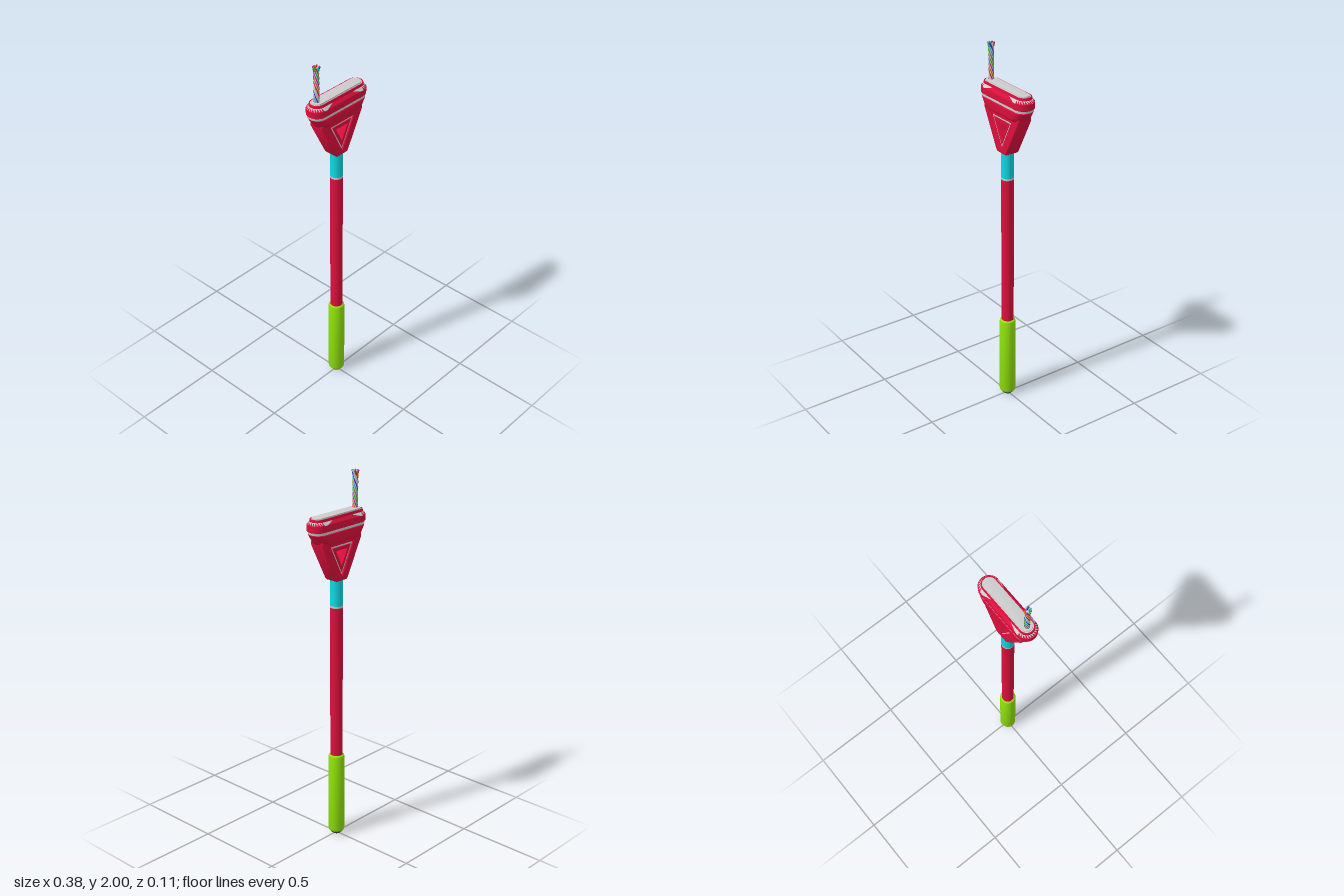
import * as THREE from 'three';
import { toCreasedNormals } from 'three/addons/utils/BufferGeometryUtils.js';

const RED = 0xdc0f3c, GREY = 0xcccccc, GREEN = 0x8ee00c, CYAN = 0x0cd8e4, NAVY = 0x2b3f66;
const ARC = 12;

function add(parent, name, geometry, color, side = THREE.FrontSide) {
  const mesh = new THREE.Mesh(geometry, new THREE.MeshStandardMaterial({ color, side }));
  mesh.name = name;
  parent.add(mesh);
  return mesh;
}

// Turned part from [radius, height] pairs
function turned(profile) {
  const points = profile.map(([r, y]) => new THREE.Vector2(r, y));
  return toCreasedNormals(new THREE.LatheGeometry(points, 32), 0.6);
}

// Horizontal stadium outline: half length, end radius, break point on the straights
function stadium(y, half, r, a = 0.1) {
  const pts = [];
  for (const s of [1, -1]) {
    for (let i = 0; i <= ARC; i++) {
      const t = -Math.PI / 2 + (Math.PI * i) / ARC;
      pts.push([s * (half - r + r * Math.cos(t)), y, s * r * Math.sin(t)]);
    }
    pts.push([s * a, y, s * r], [-s * a, y, s * r]);
  }
  return pts;
}

// Skin over stadium rings; keep(i, k) picks triangle k of side i
function loft(rings, { capTop = false, capBottom = false, keep = () => true } = {}) {
  const pos = [], n = rings[0].length;
  for (let j = 0; j < rings.length - 1; j++) {
    const lo = rings[j], hi = rings[j + 1];
    for (let i = 0; i < n; i++) {
      const k = (i + 1) % n;
      if (keep(i, 0)) pos.push(...lo[i], ...hi[k], ...lo[k]);
      if (keep(i, 1)) pos.push(...lo[i], ...hi[i], ...hi[k]);
    }
  }
  const cap = (ring, up) => {
    for (let i = 0; i < n; i++) {
      const p = ring[i], q = ring[(i + 1) % n];
      pos.push(0, ring[0][1], 0, ...(up ? q : p), ...(up ? p : q));
    }
  };
  if (capTop) cap(rings.at(-1), true);
  if (capBottom) cap(rings[0], false);
  const g = new THREE.BufferGeometry();
  g.setAttribute('position', new THREE.Float32BufferAttribute(pos, 3));
  g.computeVertexNormals();
  return toCreasedNormals(g, 0.5);
}

// Triangle around the fork window; scale 1 is the opening itself
function triangle(s, Type = THREE.Shape) {
  const cy = 1.593;
  return new Type([[-0.041, 0.029], [0, -0.053], [0.041, 0.029]]
    .map(([x, y]) => new THREE.Vector2(x * s, cy + y * s)));
}

function slab(shape, halfDepth, bevel) {
  const g = new THREE.ExtrudeGeometry(shape, {
    depth: 2 * (halfDepth - bevel), bevelEnabled: bevel > 0,
    bevelSize: bevel, bevelThickness: bevel, bevelOffset: -bevel, bevelSegments: 3,
  });
  g.translate(0, 0, bevel - halfDepth);
  return toCreasedNormals(g, 0.6);
}

function buildHandle() {
  const handle = new THREE.Group();
  handle.name = 'handle';
  add(handle, 'endCap', turned([[0, 0], [0.022, 0], [0.031, 0.009], [0.031, 0.03]]), NAVY);
  add(handle, 'grip', turned([[0, 0.015], [0.034, 0.015], [0.041, 0.021], [0.044, 0.032],
    [0.044, 0.458], [0.041, 0.471], [0.034, 0.477], [0, 0.477]]), GREEN);
  add(handle, 'shaft', turned([[0.033, 0.47], [0.033, 1.31]]), RED);
  add(handle, 'collarRing', turned([[0.033, 1.31], [0.0335, 1.312], [0.0335, 1.319], [0.033, 1.321]]), GREY);
  add(handle, 'sleeve', turned([[0.033, 1.32], [0.033, 1.47]]), CYAN);
  return handle;
}

function buildFork() {
  const fork = new THREE.Group();
  fork.name = 'fork';
  const outline = new THREE.Shape([[-0.036, 1.46], [0.036, 1.46], [0.045, 1.47], [0.146, 1.665],
    [0.146, 1.685], [-0.146, 1.685], [-0.146, 1.665], [-0.045, 1.47]]
    .map(([x, y]) => new THREE.Vector2(x, y)));
  outline.holes.push(triangle(1.95, THREE.Path));
  add(fork, 'forkFrame', slab(outline, 0.041, 0.008), RED);
  // Stepped window surround
  const ring = (outer, inner) => {
    const shape = triangle(outer);
    shape.holes.push(triangle(inner, THREE.Path));
    return shape;
  };
  add(fork, 'windowInlay', slab(ring(2.05, 1.55), 0.034, 0), GREY);
  add(fork, 'windowSurround', slab(ring(1.66, 1), 0.037, 0.002), RED);
  return fork;
}

function buildHead() {
  const head = new THREE.Group();
  head.name = 'head';
  add(head, 'lowerShell', loft([stadium(1.668, 0.143, 0.044), stadium(1.676, 0.152, 0.051),
    stadium(1.69, 0.162, 0.054), stadium(1.722, 0.182, 0.054), stadium(1.728, 0.181, 0.05)],
  { capBottom: true }), RED);
  add(head, 'grooveBand', loft([stadium(1.726, 0.183, 0.051), stadium(1.742, 0.187, 0.051)]), GREY);
  add(head, 'upperShell', loft([stadium(1.738, 0.185, 0.05), stadium(1.743, 0.191, 0.054),
    stadium(1.775, 0.192, 0.054)]), RED);
  // Two-tone bevel: serrated ends, long red facets on the straights
  const bevel = [stadium(1.775, 0.192, 0.054, 0.12), stadium(1.79, 0.178, 0.041, 0.07)];
  const isRed = (i, k) => {
    const m = i % (ARC + 3);
    return m < ARC ? k === 0 : m === ARC + 1;
  };
  add(head, 'bevelRed', loft(bevel, { keep: isRed }), RED);
  add(head, 'bevelGrey', loft(bevel, { keep: (i, k) => !isRed(i, k) }), GREY);
  add(head, 'topLip', loft([stadium(1.79, 0.178, 0.041), stadium(1.803, 0.176, 0.039),
    stadium(1.803, 0.171, 0.035), stadium(1.795, 0.17, 0.034)]), RED);
  add(head, 'topPlate', loft([stadium(1.785, 0.172, 0.036), stadium(1.8, 0.172, 0.036),
    stadium(1.801, 0.166, 0.03), stadium(1.808, 0.165, 0.029)], { capTop: true }), GREY);
  return head;
}

function buildCable() {
  const cable = new THREE.Group();
  cable.name = 'cable';
  cable.position.set(-0.14, 0, 0);
  add(cable, 'cableCore', new THREE.CylinderGeometry(0.0135, 0.0135, 0.18, 20).translate(0, 1.885, 0), GREY);
  // Twisted strands that splay at the tip
  const colors = [0xe02020, 0xf0f0f0, 0x2038d0, 0x30b8d0, 0x907020, 0x20c020, 0xc020c0, 0xe07020];
  colors.forEach((color, n) => {
    const strand = new THREE.Group();
    strand.name = 'strand';
    const points = [];
    for (let i = 0; i <= 16; i++) {
      const u = i / 16;
      const t = (n / colors.length + u * 0.9) * Math.PI * 2;
      const r = 0.0105 + 0.005 * Math.max(0, (u - 0.88) / 0.12);
      points.push(new THREE.Vector3(r * Math.cos(t), 1.8 + 0.195 * u, r * Math.sin(t)));
    }
    add(strand, 'strandWire', new THREE.TubeGeometry(new THREE.CatmullRomCurve3(points), 48, 0.004, 8), color);
    add(strand, 'strandTip', new THREE.SphereGeometry(0.005, 10, 8), color).position.copy(points.at(-1));
    cable.add(strand);
  });
  return cable;
}

export function createModel() {
  const model = new THREE.Group();
  model.name = 'scannerWand';
  model.add(buildHandle(), buildFork(), buildHead(), buildCable());
  return model;
}
